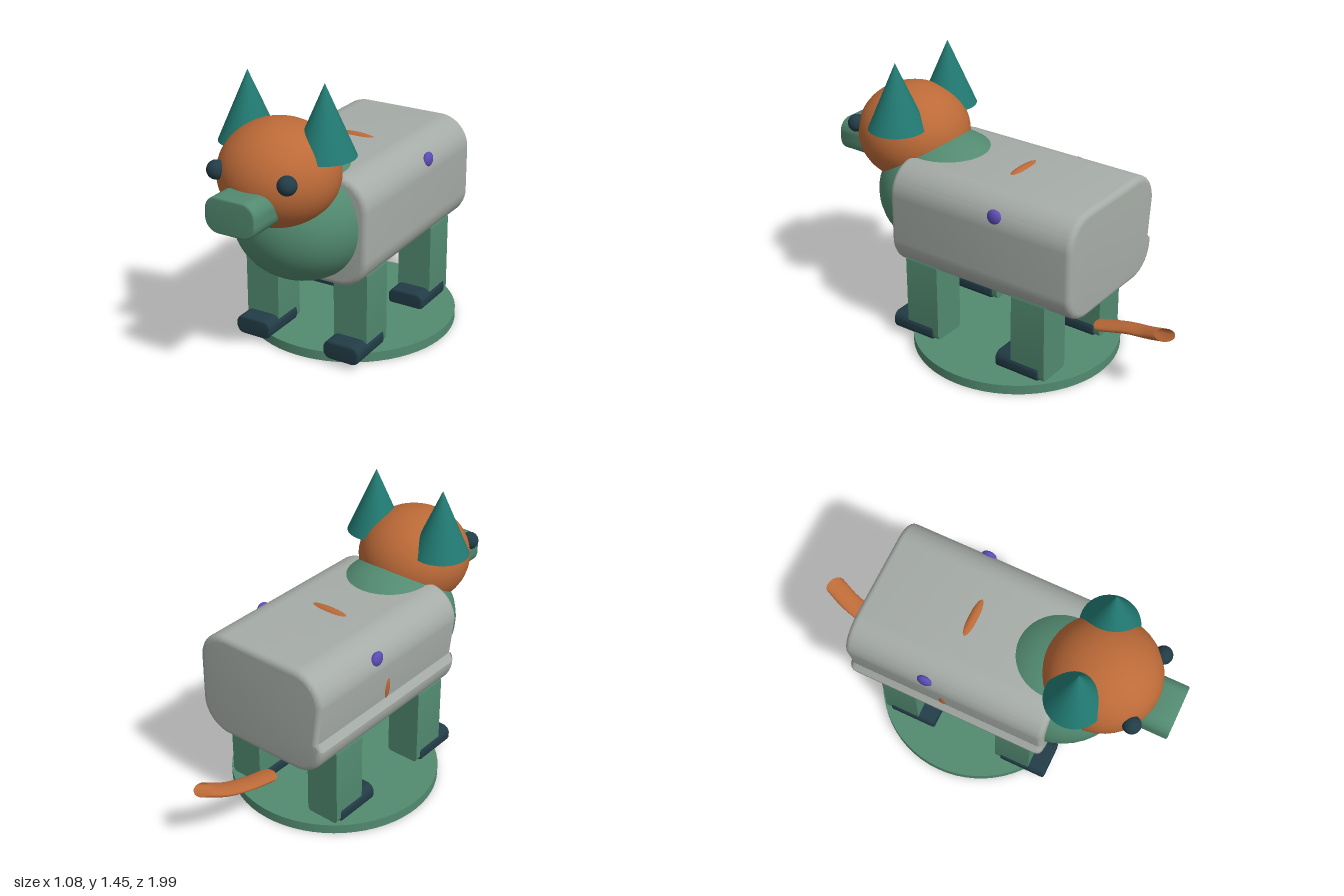
import * as THREE from 'three';
import { toCreasedNormals } from 'three/addons/utils/BufferGeometryUtils.js';

function material(name, color, side = THREE.FrontSide) {
  const m = new THREE.MeshStandardMaterial({ color, side });
  m.name = name;
  return m;
}

// Rounded rectangle outline centred on the origin
function roundedRect(w, h, r) {
  const s = new THREE.Shape();
  const x = w / 2 - r, y = h / 2 - r;
  s.absarc(x, y, r, 0, Math.PI / 2);
  s.absarc(-x, y, r, Math.PI / 2, Math.PI);
  s.absarc(-x, -y, r, Math.PI, Math.PI * 1.5);
  s.absarc(x, -y, r, Math.PI * 1.5, Math.PI * 2);
  return s;
}

// Extrusion between two z positions, bevel kept inside the outline
function extrude(shape, z0, z1, bevel = 0) {
  const g = new THREE.ExtrudeGeometry(shape, {
    depth: z1 - z0 - 2 * bevel, curveSegments: 12, bevelEnabled: bevel > 0,
    bevelSize: bevel, bevelThickness: bevel, bevelOffset: -bevel, bevelSegments: 4,
  });
  g.translate(0, 0, z0 + bevel);
  return toCreasedNormals(g, 0.6);
}

export function createModel() {
  const model = new THREE.Group();
  model.name = 'toyAnimal';

  const grey = material('grey', 0xa6aca7);
  const green = material('green', 0x528a70);
  const orange = material('orange', 0xbc6a38);
  const orangeOpen = orange;
  orangeOpen.side = THREE.DoubleSide;
  const teal = material('teal', 0x217a72);
  const dark = material('dark slate', 0x223c46);
  const purple = material('purple', 0x5c4cb4);

  function add(name, geometry, mat, x = 0, y = 0, z = 0) {
    const mesh = new THREE.Mesh(geometry, mat);
    mesh.name = name;
    mesh.position.set(x, y, z);
    model.add(mesh);
    return mesh;
  }
  function ellipsoid(name, mat, pos, radii) {
    const g = new THREE.SphereGeometry(1, 40, 28).scale(...radii);
    return add(name, g, mat, ...pos);
  }

  // Round stand
  add('base', new THREE.CylinderGeometry(0.54, 0.54, 0.05, 64), green, 0, 0.025, -0.05);

  // Barrel body with a shallow crease along its right flank
  const r = 0.16;
  const body = new THREE.Shape();
  body.absarc(0.38 - r, 0.28 - r, r, 0, Math.PI / 2);
  body.absarc(-0.38 + r, 0.28 - r, r, Math.PI / 2, Math.PI);
  body.lineTo(-0.358, -0.08);
  body.lineTo(-0.382, -0.12);
  body.absarc(-0.38 + r, -0.28 + r, r, Math.PI, Math.PI * 1.5);
  body.absarc(0.38 - r, -0.28 + r, r, Math.PI * 1.5, Math.PI * 2);
  add('body', extrude(body, -0.61, 0.46, 0.03), grey, 0, 0.7, 0);

  // Band that just breaks the body surface
  const band = add('bodyBand', new THREE.TorusGeometry(0.262, 0.03, 16, 64), orange, 0, 0.7, -0.085);
  band.scale.x = 1.28;

  // Chest, head and snout
  ellipsoid('chest', green, [0, 0.73, 0.39], [0.345, 0.322, 0.36]);
  ellipsoid('head', orange, [0, 1.01, 0.6], [0.29, 0.255, 0.29]);
  add('snout', extrude(roundedRect(0.27, 0.175, 0.07), 0.7, 1, 0.01), green, 0, 0.923, 0);

  for (const side of [1, -1]) {
    const label = side > 0 ? 'left' : 'right';
    ellipsoid(label + 'Eye', dark, [side * 0.19, 1.057, 0.825], [0.046, 0.046, 0.046]);
    add(label + 'Ear', new THREE.ConeGeometry(0.147, 0.34, 40), teal, side * 0.208, 1.28, 0.537);
    ellipsoid(label + 'Spot', purple, [side * 0.364, 0.885, -0.173], [0.021, 0.039, 0.04]);

    // Legs and feet, front and back
    for (const [end, legZ, footZ] of [['Front', 0.2, 0.232], ['Back', -0.452, -0.42]]) {
      add(label + end + 'Leg', extrude(roundedRect(0.185, 0.45, 0.03), legZ, legZ + 0.195),
        green, side * 0.255, 0.27, 0);
      add(label + end + 'Foot', extrude(roundedRect(0.2, 0.098, 0.042), footZ, footZ + 0.256, 0.01),
        dark, side * 0.255, 0.079, 0);
    }
  }

  // Flattened tail: a round tube squashed vertically
  const squash = 0.3;
  const path = new THREE.CatmullRomCurve3([
    [0, 0.248, -0.565], [0, 0.288, -0.72], [0.022, 0.318, -0.84], [0.06, 0.362, -0.949],
  ].map(([x, y, z]) => new THREE.Vector3(x, y / squash, z)));
  const tail = add('tail', new THREE.TubeGeometry(path, 32, 0.054, 20), orangeOpen);
  tail.scale.y = squash;

  return model;
}
